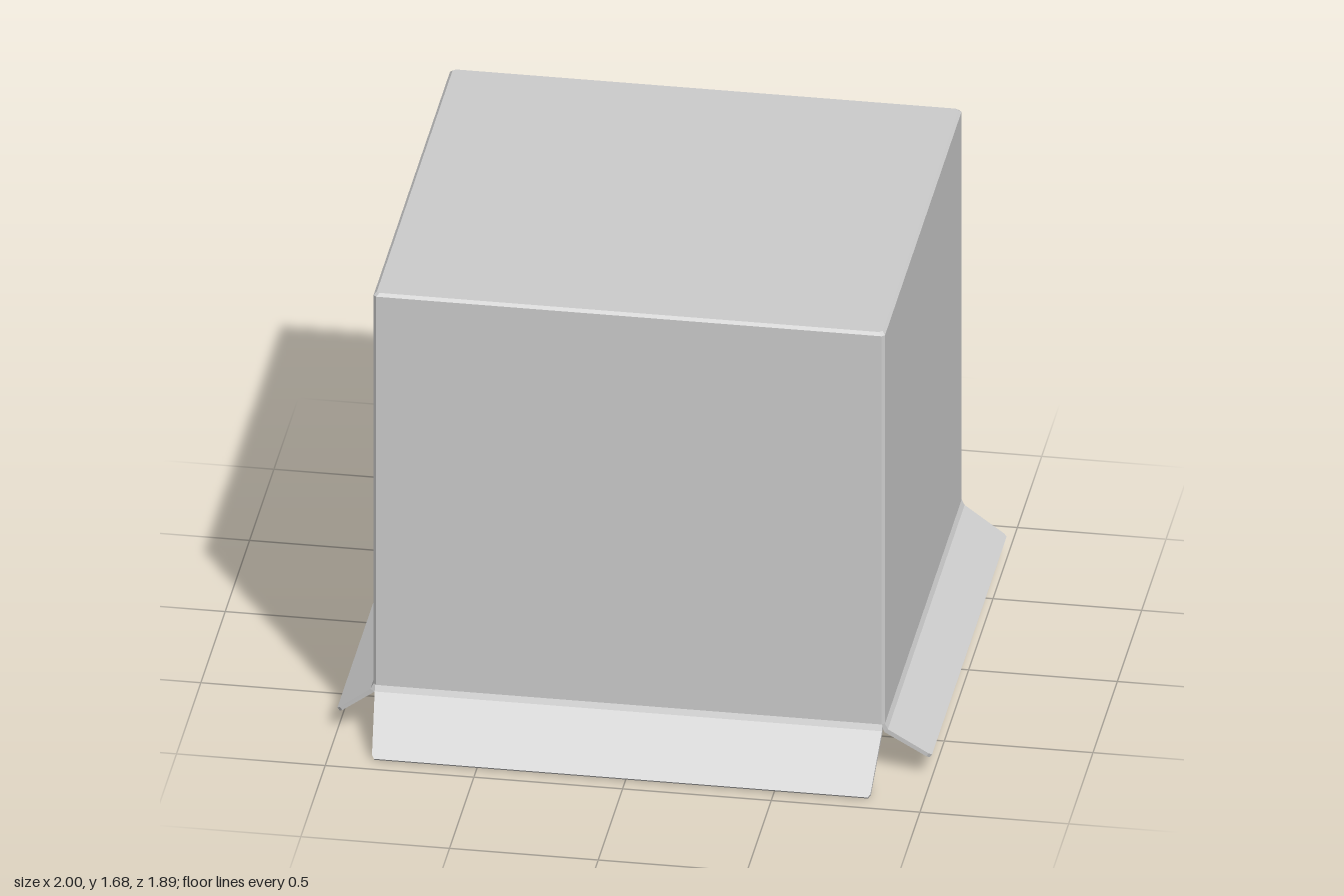
import * as THREE from 'three';

// Skin a list of closed rings with flat quads, capping the first and last ring.
function loft(rings) {
  const pos = [];
  const tri = (...pts) => pts.forEach((p) => pos.push(...p));
  const n = rings[0].length;
  for (let r = 0; r < rings.length - 1; r++) {
    const a = rings[r], b = rings[r + 1];
    for (let i = 0; i < n; i++) {
      const j = (i + 1) % n;
      tri(a[i], a[j], b[j]);
      tri(a[i], b[j], b[i]);
    }
  }
  const first = rings[0], last = rings[rings.length - 1];
  for (let i = 1; i < n - 1; i++) {
    tri(first[0], first[i + 1], first[i]);
    tri(last[0], last[i], last[i + 1]);
  }
  const g = new THREE.BufferGeometry();
  g.setAttribute('position', new THREE.Float32BufferAttribute(pos, 3));
  g.computeVertexNormals();
  return g;
}

const HALF_W = 0.86, HALF_D = 0.795, TOP = 1.677, HINGE = 0.2, WALL = 0.014;

// Horizontal rectangle with chamfered corners, counter-clockwise from above.
function outline(inset, y, c = 0.01) {
  const w = HALF_W - inset, d = HALF_D - inset;
  return [
    [w, y, d - c], [w, y, c - d], [w - c, y, -d], [c - w, y, -d],
    [-w, y, c - d], [-w, y, d - c], [c - w, y, d], [w - c, y, d],
  ];
}

// Thin panel bending outward from the wall's lower edge, tapered to its tip.
function flapGeometry(halfWidth, run, tipY) {
  const bendD = 0.01, bendY = 0.18;
  const dir = new THREE.Vector2(run - bendD, tipY - bendY).normalize();
  const nd = -dir.y * WALL, ny = dir.x * WALL;
  const section = (d, y, w, offD, offY) => [
    [-w, y - offY, d - offD], [w, y - offY, d - offD], [w, y, d], [-w, y, d],
  ];
  const r = 0.012;
  return loft([
    section(0, HINGE, halfWidth - 0.007, WALL, 0),
    section(bendD, bendY, halfWidth - 0.007, nd + 0.004, ny),
    section(run - dir.x * r, tipY - dir.y * r, halfWidth - 0.022, nd, ny),
    section(run, tipY, halfWidth - 0.03, nd, ny),
  ]);
}

export function createModel() {
  const model = new THREE.Group();
  model.name = 'openBox';
  const card = new THREE.MeshStandardMaterial({ color: 0xcccccc });
  card.name = 'lightGreyCard';

  // Box body sits slightly off centre because the flaps spread unevenly
  const body = new THREE.Group();
  body.name = 'box';
  body.position.set(-0.015, 0, -0.015);
  model.add(body);

  // Hollow shell: inner ceiling, inner walls, rim, outer walls, top panel
  const shell = new THREE.Mesh(loft([
    outline(WALL + 0.01, TOP - WALL),
    outline(WALL, TOP - WALL - 0.01),
    outline(WALL, HINGE),
    outline(0, HINGE),
    outline(0, TOP - 0.01),
    outline(0.01, TOP),
  ]), card);
  shell.name = 'boxShell';
  body.add(shell);

  // Four splayed flaps: name, turn, wall distance, half width, run, tip height
  const flaps = [
    ['frontFlap', 0, HALF_D, HALF_W, 0.165, 0.011],
    ['leftFlap', Math.PI / 2, HALF_W, HALF_D, 0.155, 0.086],
    ['backFlap', Math.PI, HALF_D, HALF_W, 0.135, 0.083],
    ['rightFlap', -Math.PI / 2, HALF_W, HALF_D, 0.125, 0.086],
  ];
  for (const [name, turn, distance, halfWidth, run, tipY] of flaps) {
    const flap = new THREE.Mesh(flapGeometry(halfWidth, run, tipY), card);
    flap.name = name;
    flap.rotation.y = turn;
    flap.position.set(Math.sin(turn) * distance, 0, Math.cos(turn) * distance);
    body.add(flap);
  }
  return model;
}
